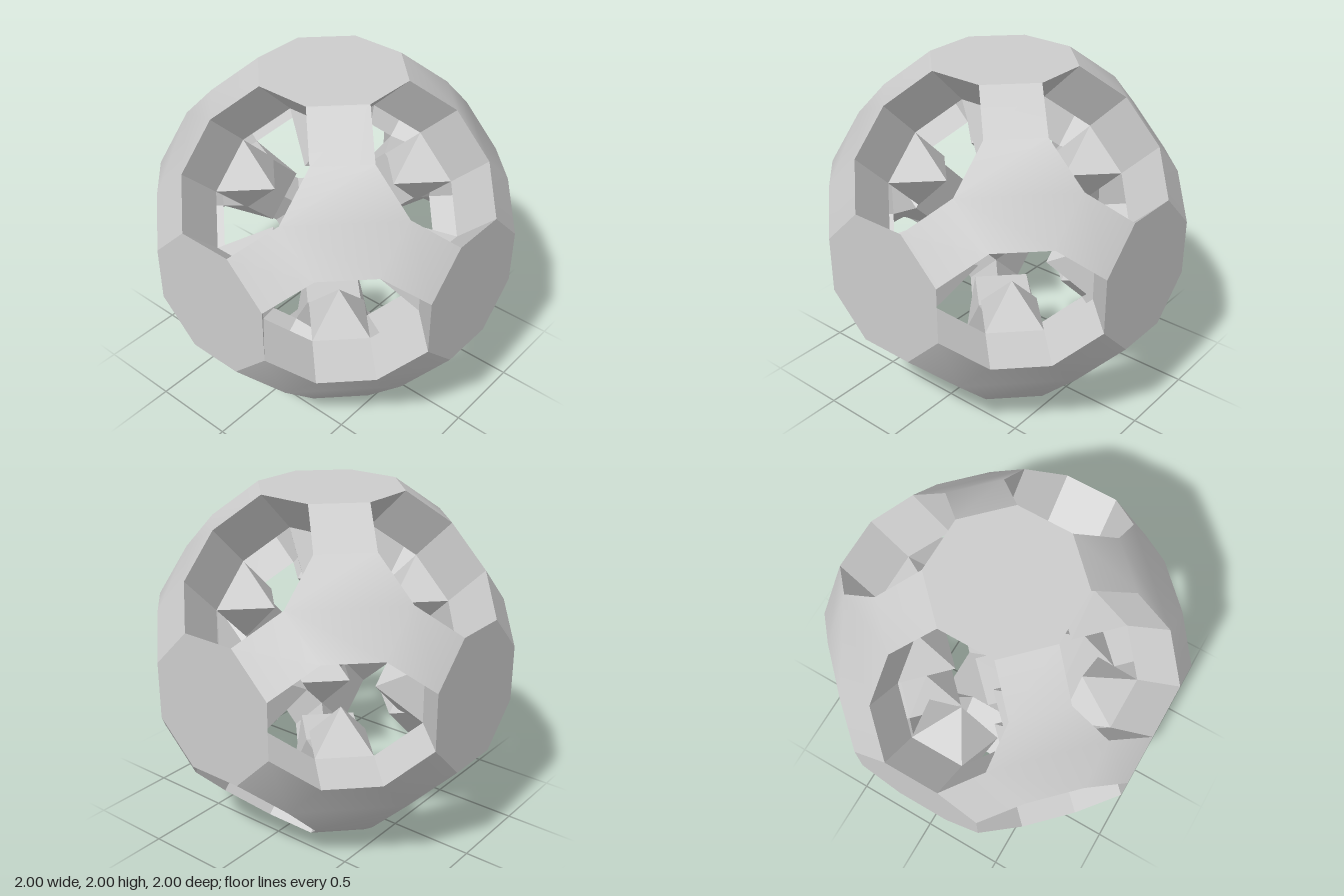
import * as THREE from 'three';
import { toCreasedNormals } from 'three/addons/utils/BufferGeometryUtils.js';

// Every edge has the same length, 2t; all other sizes follow from that
const R2 = Math.SQRT2, R3 = Math.sqrt(3);
const t = 1 / (1 + 2 * R2 + 4 / R3);        // half an edge, with the outer octagons at distance 1
const w = t * (1 + R2);                     // octagon half-width
const s = t * R2;                           // tunnel step along each axis
const a = t + 2 * t / R3, b = a + s, c = b + s; // coordinates of a corner hexagon
const q = 1 - s;                            // distance of the inner squares

// Collects flat convex faces, each turned away from the middle of its piece
class Faces {
  constructor() { this.pos = []; }
  add(points, middle) {
    const p = points.map(v => new THREE.Vector3(...v));
    const n = p[1].clone().sub(p[0]).cross(p[2].clone().sub(p[0]));
    if (n.dot(p[0].clone().sub(new THREE.Vector3(...middle))) < 0) p.reverse();
    for (let i = 1; i < p.length - 1; i++)
      for (const v of [p[0], p[i], p[i + 1]]) this.pos.push(v.x, v.y, v.z);
  }
  build() {
    const g = new THREE.BufferGeometry();
    g.setAttribute('position', new THREE.Float32BufferAttribute(this.pos, 3));
    return toCreasedNormals(g, THREE.MathUtils.degToRad(25));
  }
}

// Quarter turns about z, and cyclic swaps of the axes
const turn = ([x, y, z], k) => k === 0 ? [x, y, z] : turn([-y, x, z], k - 1);
const cycle = ([x, y, z], k) => k === 0 ? [x, y, z] : cycle([z, x, y], k - 1);

// Octagon plate with four tunnel walls narrowing to an inner square
function capGeometry() {
  const f = new Faces(), mid = [0, 0, (1 + q) / 2], octagon = [];
  for (let k = 0; k < 4; k++) {
    octagon.push(turn([w, -t, 1], k), turn([w, t, 1], k));
    f.add([[w, -t, 1], [w, t, 1], [t, t, q], [t, -t, q]].map(v => turn(v, k)), mid);
  }
  f.add(octagon, mid);
  return f.build();
}

// Square antiprism hanging inwards from the inner square
function antiprismGeometry() {
  const f = new Faces(), low = q - 2 * t * Math.pow(2, -0.25), mid = [0, 0, (q + low) / 2];
  const end = [];
  for (let k = 0; k < 4; k++) {
    end.push(turn([s, 0, low], k));
    f.add([[t, -t, q], [t, t, q], [s, 0, low]].map(v => turn(v, k)), mid);
    f.add([[t, t, q], [s, 0, low], [0, s, low]].map(v => turn(v, k)), mid);
  }
  f.add(end, mid);
  return f.build();
}

// Hexagon with three square struts, and the tunnel walls behind them
function cornerGeometry() {
  const f = new Faces(), m = (a + b) / 2, mid = [m, m, m];
  const across = (2 * a + b + w + 2 * t) / 6;
  const strutMid = [across, across, (2 * c + 2 + b + q) / 6];
  f.add([[a, b, c], [b, a, c], [c, a, b], [c, b, a], [b, c, a], [a, c, b]], mid);
  for (let k = 0; k < 3; k++) {
    const add = (pts, centre) => f.add(pts.map(v => cycle(v, k)), cycle(centre, k));
    add([[a, b, c], [b, a, c], [w, t, 1], [t, w, 1]], strutMid);
    add([[a, b, c], [t, w, 1], [t, t, q], [a, a, b]], strutMid);
    add([[b, a, c], [w, t, 1], [t, t, q], [a, a, b]], strutMid);
    add([[b, a, c], [c, a, b], [b, a, a], [a, a, b]], mid);
  }
  return f.build();
}

export function createModel() {
  const model = new THREE.Group();
  model.name = 'hollowPolyhedron';
  const grey = new THREE.MeshStandardMaterial({ color: 0xcccccc });
  grey.name = 'light grey';

  const place = (name, rx, ry, parts) => {
    const group = new THREE.Group();
    group.name = name;
    group.rotation.set(rx, ry, 0);
    group.position.y = 1;
    for (const [geometry, label] of parts) {
      const part = new THREE.Mesh(geometry, grey);
      part.name = label;
      group.add(part);
    }
    model.add(group);
  };

  const cap = [[capGeometry(), 'octagonCap'], [antiprismGeometry(), 'innerAntiprism']];
  const corner = [
    [cornerGeometry(), 'cornerStruts'],
    [new THREE.OctahedronGeometry(s).translate(a, a, a), 'innerOctahedron'],
  ];

  // Four caps around the middle, one on top and one underneath
  const H = Math.PI / 2;
  for (let k = 0; k < 4; k++) place('sideCap', 0, k * H, cap);
  place('topCap', -H, 0, cap);
  place('bottomCap', H, 0, cap);

  // Four upper corners and four lower ones
  for (let k = 0; k < 4; k++) {
    place('upperCorner', 0, k * H, corner);
    place('lowerCorner', Math.PI, k * H, corner);
  }
  return model;
}
